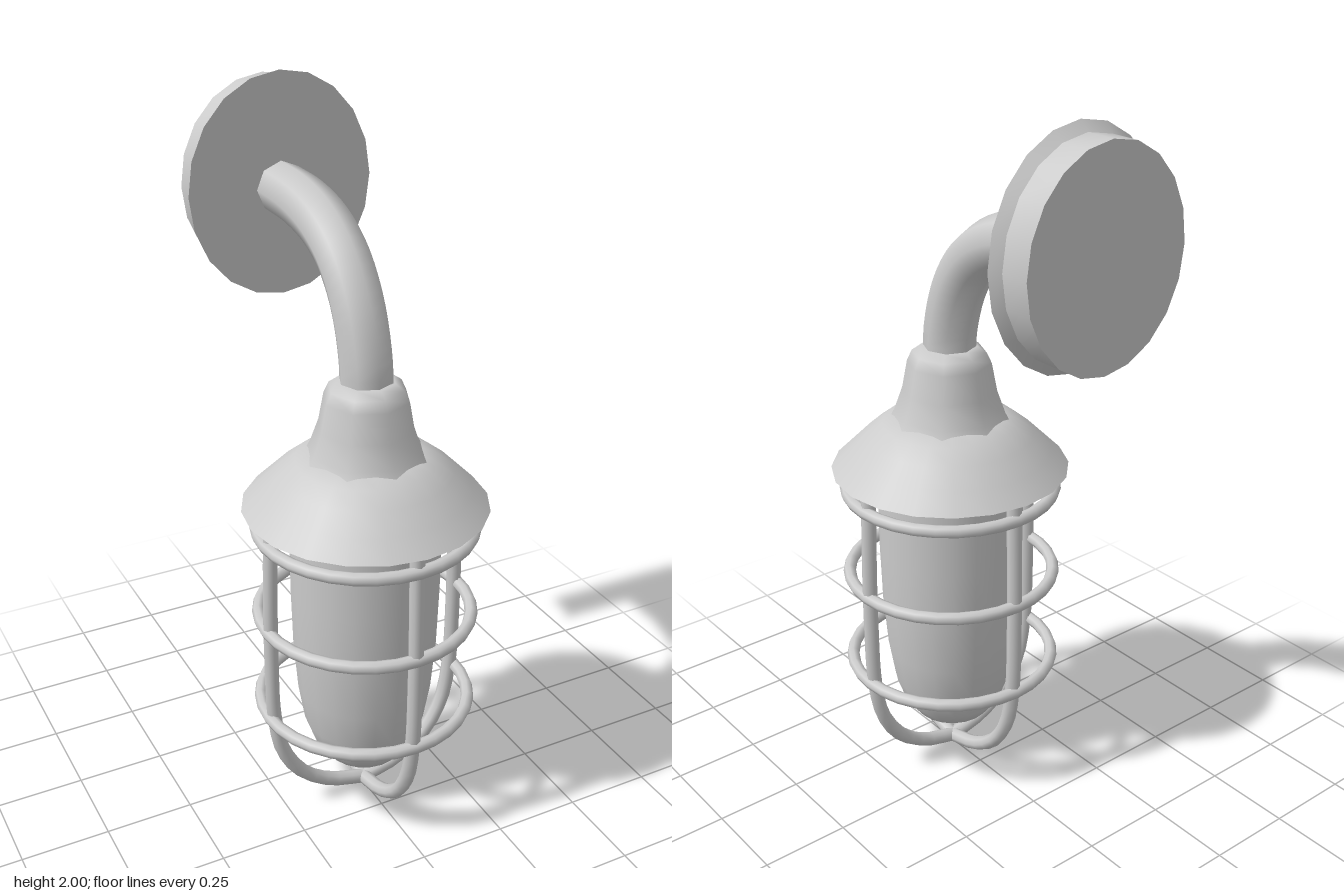
import * as THREE from 'three';
import { toCreasedNormals } from 'three/addons/utils/BufferGeometryUtils.js';

const material = new THREE.MeshStandardMaterial({ color: 0xcccccc });

function add(parent, name, geometry) {
  const mesh = new THREE.Mesh(geometry, material);
  mesh.name = name;
  parent.add(mesh);
  return mesh;
}

const lathe = (profile, sides) =>
  new THREE.LatheGeometry(profile.map(([r, y]) => new THREE.Vector2(r, y)), sides);

const tube = (points, radius, steps, sides) =>
  new THREE.TubeGeometry(
    new THREE.CatmullRomCurve3(points.map((p) => new THREE.Vector3(...p))), steps, radius, sides);

export function createModel() {
  const model = new THREE.Group();
  model.name = 'wallLantern';

  // Everything that turns around the vertical lamp axis
  const lamp = new THREE.Group();
  lamp.name = 'lamp';
  lamp.position.z = 0.135;
  model.add(lamp);

  // Conical shade with a flat underside
  add(lamp, 'shade', lathe([[0.335, 0.95], [0.285, 1.0], [0.235, 1.05], [0.19, 1.085],
    [0.14, 1.107], [0, 1.115]], 20));
  const underside = add(lamp, 'shadeUnderside', new THREE.CircleGeometry(0.335, 20));
  underside.rotation.x = Math.PI / 2;
  underside.position.y = 0.95;

  // Eight-sided collar between shade and arm
  add(lamp, 'collar', lathe([[0.168, 1.09], [0.155, 1.115], [0.132, 1.18], [0.117, 1.26],
    [0.103, 1.29], [0.078, 1.308], [0, 1.312]], 8));

  // Glass globe with a rounded end
  add(lamp, 'globe', lathe([[0, 0.105], [0.05, 0.113], [0.11, 0.14], [0.145, 0.185], [0.172, 0.26],
    [0.19, 0.37], [0.202, 0.52], [0.207, 0.7], [0.208, 0.96]], 20));

  // Cage hoops
  for (const y of [0.89, 0.62, 0.335]) {
    const hoop = add(lamp, 'cageHoop', new THREE.TorusGeometry(0.296, 0.018, 8, 32));
    hoop.rotation.x = Math.PI / 2;
    hoop.position.y = y;
  }

  // Four cage bars that meet below the globe
  const barPath = [[0.28, 0.96, 0], [0.286, 0.75, 0], [0.288, 0.55, 0], [0.282, 0.33, 0],
    [0.258, 0.21, 0], [0.2, 0.115, 0], [0.11, 0.052, 0], [0, 0.022, 0]];
  for (let i = 0; i < 4; i++) {
    add(lamp, 'cageBar', tube(barPath, 0.021, 24, 8)).rotation.y = i * Math.PI / 2;
  }

  // Bent arm to the wall
  add(model, 'arm', tube([[0, 1.26, 0.135], [0, 1.36, 0.128], [0, 1.49, 0.085], [0, 1.59, 0.01],
    [0, 1.65, -0.09], [0, 1.68, -0.22], [0, 1.685, -0.38]], 0.073, 24, 8));

  // Oval wall plate with a flared front lip
  const plate = lathe([[0, -0.475], [0.284, -0.475], [0.284, -0.39], [0.31, -0.365], [0, -0.365]], 20);
  plate.rotateX(Math.PI / 2);
  plate.scale(0.875, 1, 1);
  add(model, 'wallPlate', toCreasedNormals(plate, 0.6)).position.y = 1.69;

  return model;
}
